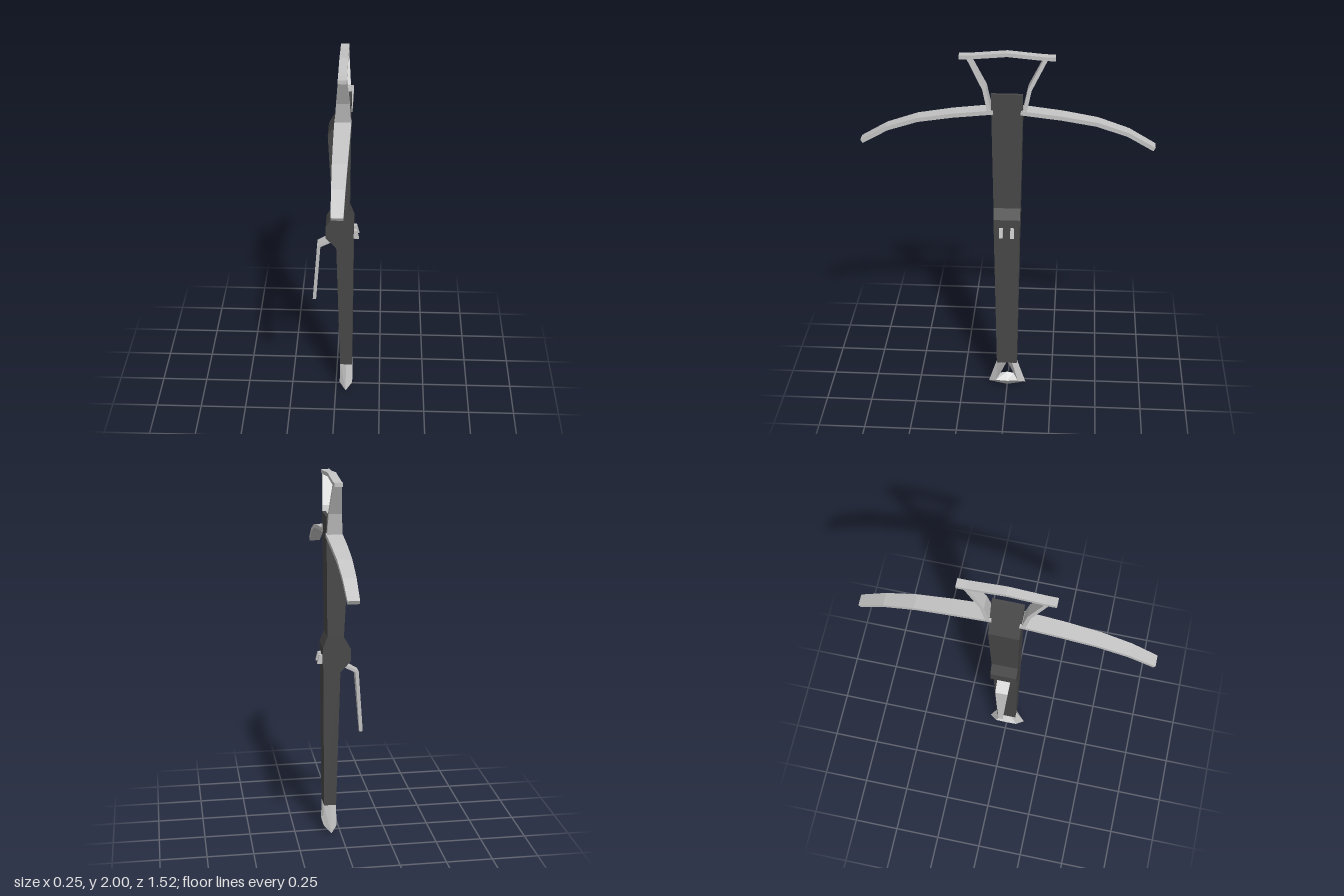
import * as THREE from 'three';

const darkStock = new THREE.MeshStandardMaterial({ color: 0x474747, flatShading: true });
darkStock.name = 'darkStock';
const paleMetal = new THREE.MeshStandardMaterial({ color: 0xc4c4c4, flatShading: true });
paleMetal.name = 'paleMetal';

// Skin a row of equal-sized cross-sections ([x, y, z] corners) and cap both ends.
function loft(name, sections, material) {
  const n = sections[0].length, last = sections.length - 1;
  const tris = [];
  for (let s = 0; s < last; s++) {
    for (let i = 0; i < n; i++) {
      const j = (i + 1) % n, a = sections[s], b = sections[s + 1];
      tris.push([a[i], b[i], b[j]], [a[i], b[j], a[j]]);
    }
  }
  for (let i = 1; i < n - 1; i++) {
    const a = sections[0], b = sections[last];
    tris.push([a[0], a[i], a[i + 1]], [b[0], b[i + 1], b[i]]);
  }
  // Turn the faces outward whichever way the sections run.
  let volume = 0;
  for (const t of tris) {
    const [a, b, c] = t.map((p) => new THREE.Vector3(...p));
    volume += a.dot(b.cross(c));
  }
  if (volume < 0) tris.forEach((t) => t.reverse());
  const geo = new THREE.BufferGeometry();
  geo.setAttribute('position', new THREE.Float32BufferAttribute(tris.flat(2), 3));
  geo.computeVertexNormals();
  const mesh = new THREE.Mesh(geo, material);
  mesh.name = name;
  return mesh;
}

// Flat strip along a path of [u, v, low, high]; place() maps (u, v, w) to [x, y, z].
function strip(name, path, thickness, place) {
  const pts = path.map((p) => new THREE.Vector2(p[0], p[1]));
  const sections = path.map(([u, v, low, high], i) => {
    const dir = pts[Math.min(i + 1, pts.length - 1)].clone().sub(pts[Math.max(i - 1, 0)]).normalize();
    const du = -dir.y * thickness / 2, dv = dir.x * thickness / 2;
    return [
      place(u + du, v + dv, low), place(u + du, v + dv, high),
      place(u - du, v - dv, high), place(u - du, v - dv, low),
    ];
  });
  return loft(name, sections, paleMetal);
}

// Profile prism centred across z.
function prism(name, profile, depth, material) {
  const shape = new THREE.Shape(profile.map((p) => new THREE.Vector2(...p)));
  const geo = new THREE.ExtrudeGeometry(shape, { depth, bevelEnabled: false });
  geo.translate(0, 0, -depth / 2);
  const mesh = new THREE.Mesh(geo, material);
  mesh.name = name;
  return mesh;
}

export function createModel() {
  const model = new THREE.Group();
  model.name = 'crossbow';

  // Stock: side profile, widening steadily toward the bow end
  const stock = prism('stock', [
    [0.025, 0.17], [0.092, 0.17], [0.096, 1.08], [0.073, 1.14], [0.078, 1.785], [0.058, 1.785],
    [-0.04, 1.61], [-0.015, 1.13], [-0.053, 1.07], [-0.053, 1.0], [0.003, 0.94],
  ], 2, darkStock);
  const pos = stock.geometry.attributes.position;
  for (let i = 0; i < pos.count; i++) {
    pos.setZ(i, pos.getZ(i) * (0.056 + (pos.getY(i) - 0.17) * 0.0155));
  }
  stock.geometry.computeVertexNormals();
  model.add(stock);

  for (const side of [1, -1]) {
    const label = side > 0 ? 'front' : 'back';

    // Bow limb, curving down and tapering to its tip
    model.add(strip(label + 'BowLimb', [
      [0.07, 1.688, -0.043, 0.043], [0.28, 1.664, -0.041, 0.041], [0.46, 1.634, -0.038, 0.038],
      [0.62, 1.58, -0.034, 0.034], [0.755, 1.502, -0.03, 0.03],
    ], 0.022, (u, v, w) => [0.038 + w - 0.008 * u * side, v, u * side]));

    // Arm carrying the top bar
    model.add(strip(label + 'StirrupArm', [
      [0.09, 1.69, -0.004, 0.078], [0.115, 1.81, 0.004, 0.072], [0.193, 1.968, 0.016, 0.06],
    ], 0.02, (u, v, w) => [w, v, u * side]));

    // Small stud on the stock
    const stud = prism(label + 'Stud', [
      [0.08, 0.985], [0.124, 0.985], [0.112, 1.033], [0.08, 1.035],
    ], 0.02, paleMetal);
    stud.position.z = 0.03 * side;
    model.add(stud);
  }

  // Top bar, peaked in the middle
  model.add(strip('stirrupBar', [[-0.242, 1.973], [-0.19, 1.973], [0, 1.99], [0.19, 1.973], [0.242, 1.973]]
    .map(([z, y]) => [z, y, 0.016, 0.06]), 0.02, (u, v, w) => [w, v, u]));

  // Bent trigger lever, narrowing to its end
  model.add(strip('trigger', [
    [0.01, 0.985, -0.037, 0.037], [-0.093, 0.928, -0.034, 0.034], [-0.12, 0.578, -0.012, 0.012],
  ], 0.019, (u, v, w) => [u, v, w]));

  // Butt: open triangular frame with a diamond section
  // Each row: outer ridge z, y; side corners z, y; inner ridge z, y
  const half = [
    [0.055, 0.172, 0.03, 0.172, 0.004, 0.15],
    [0.104, 0.022, 0.062, 0.05, 0.036, 0.078],
  ];
  const rows = [
    ...half,
    [0, 0, 0, 0.047, 0, 0.085],
    ...half.map((r) => r.map((v, i) => (i % 2 ? v : -v))).reverse(),
  ];
  model.add(loft('buttFrame', rows.map(([oz, oy, sz, sy, iz, iy]) => [
    [0.058, oy, oz], [0.094, sy, sz], [0.058, iy, iz], [0.023, sy, sz],
  ]), paleMetal));

  return model;
}
